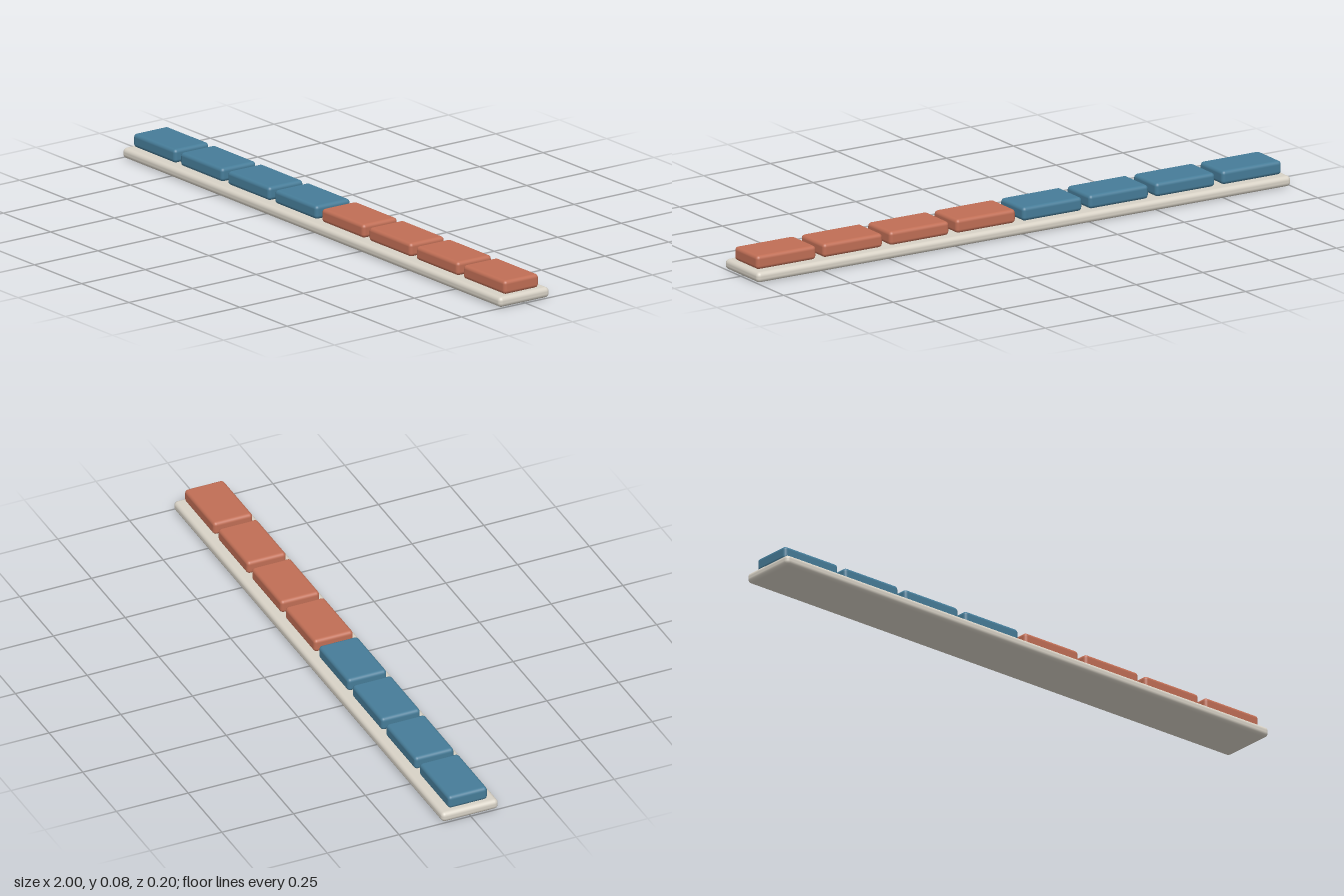
import * as THREE from 'three';
import { RoundedBoxGeometry } from 'three/addons/geometries/RoundedBoxGeometry.js';

function material(name, color) {
  const m = new THREE.MeshStandardMaterial({ color });
  m.name = name;
  return m;
}

export function createModel() {
  const group = new THREE.Group();
  group.name = 'segmentedStrip';
  const cream = material('warm cream', 0xd8d2c6);
  const blue = material('muted blue', 0x467c98);
  const red = material('terracotta', 0xc06e55);

  const baseHeight = 0.034, blockHeight = 0.045;
  const blockWidth = 0.223, blockDepth = 0.137, pitch = 0.249, count = 8;

  // Long rounded base strip
  const base = new THREE.Mesh(new RoundedBoxGeometry(2, baseHeight, 0.198, 3, 0.014), cream);
  base.name = 'baseStrip';
  base.position.y = baseHeight / 2;
  group.add(base);

  // Row of rounded blocks: blue on the model's right half, terracotta on its left
  const blockGeometry = new RoundedBoxGeometry(blockWidth, blockHeight, blockDepth, 3, 0.012);
  for (let i = 0; i < count; i++) {
    const block = new THREE.Mesh(blockGeometry, i < count / 2 ? blue : red);
    block.name = `block${i + 1}`;
    block.position.set((i - (count - 1) / 2) * pitch, baseHeight + blockHeight / 2, 0);
    group.add(block);
  }
  return group;
}
